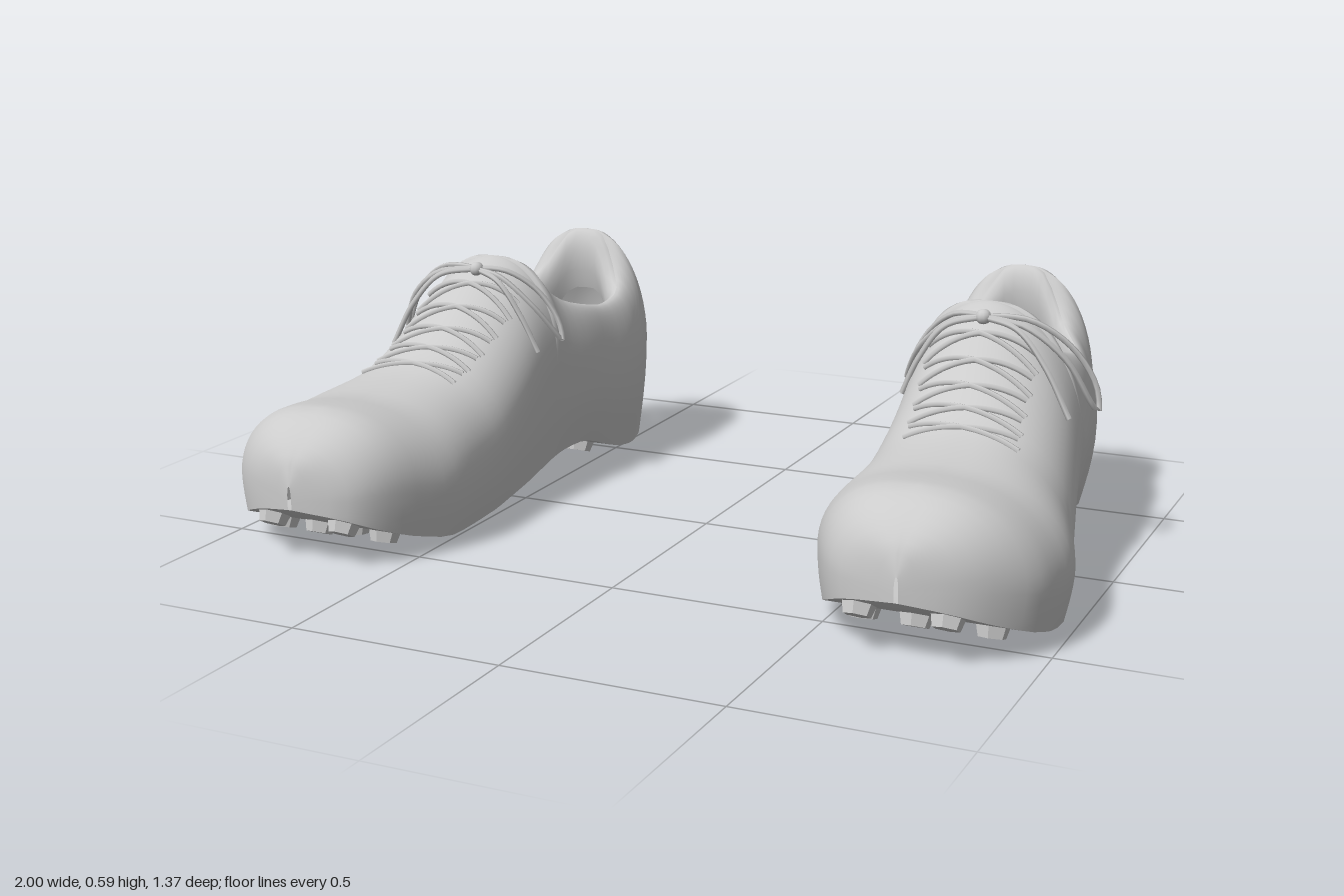
import * as THREE from 'three';
import { mergeVertices } from 'three/addons/utils/BufferGeometryUtils.js';

const material = new THREE.MeshStandardMaterial({ color: 0xcccccc, side: THREE.DoubleSide });

// Smooth monotone curve through pairs [z, value, z, value, ...]
function curve(...p) {
  const n = p.length / 2, X = i => p[2 * i], Y = i => p[2 * i + 1];
  const sec = i => (Y(i + 1) - Y(i)) / (X(i + 1) - X(i));
  const slope = i => {
    if (i === 0) return sec(0);
    if (i === n - 1) return sec(n - 2);
    const a = sec(i - 1), b = sec(i);
    return a * b <= 0 ? 0 : 2 * a * b / (a + b);
  };
  return z => {
    let i = 0;
    while (i < n - 2 && z > X(i + 1)) i++;
    const h = X(i + 1) - X(i), t = Math.min(1, Math.max(0, (z - X(i)) / h)), u = 1 - t;
    return Y(i) * (1 + 2 * t) * u * u + slope(i) * h * t * u * u
      + Y(i + 1) * (3 - 2 * t) * t * t - slope(i + 1) * h * t * t * u;
  };
}

// Shoe outline, profile and section rules along its length
const inner = curve(-.685, .60, -.67, .54, -.64, .49, -.6, .455, -.55, .43, -.45, .406, -.3, .43, -.1, .475,
  0, .472, .2, .46, .38, .45, .5, .487, .6, .54, .65, .60, .68, .72);
const outer = curve(-.685, .62, -.67, .68, -.64, .72, -.6, .76, -.55, .795, -.45, .835, -.3, .86, -.1, .89,
  0, .91, .2, .957, .37, 1, .42, .995, .5, .98, .6, .905, .65, .83, .68, .73);
const top = curve(-.685, .26, -.675, .33, -.66, .4, -.63, .47, -.6, .53, -.58, .575, -.56, .587, -.53, .525,
  -.5, .47, -.44, .44, -.36, .43, -.3, .44, -.22, .465, -.17, .51, -.13, .585, -.1, .575, -.05, .545,
  0, .5, .1, .42, .2, .365, .3, .343, .4, .333, .45, .338, .54, .343, .6, .32, .64, .285, .67, .24, .68, .19);
const bottom = curve(-.685, .2, -.68, .15, -.66, .085, -.64, .06, -.6, .035, -.5, .028, -.42, .035, -.35, .055,
  -.3, .075, -.25, .085, -.2, .08, -.1, .055, 0, .04, .1, .032, .2, .026, .4, .028, .5, .05, .6, .09, .68, .135);
const ridge = curve(-.685, .61, -.5, .61, -.35, .635, -.1, .655, .1, .68, .3, .71, .68, .725);
const bulge = curve(-.685, .5, -.4, .5, -.1, .42, .2, .36, .68, .35);
const soleEdge = curve(-.685, .85, -.4, .84, -.2, .86, .2, .93, .68, .96);
const fullness = curve(-.685, 1, -.56, 1.15, -.35, 1, 0, 1.05, .3, .85, .68, .8);
const middle = z => (inner(z) + outer(z)) / 2;
const half = z => (outer(z) - inner(z)) / 2;

// Collar opening, an ellipse seen from above
const RIM = { z: -.345, a: .215, b: .165 };
const rim = z => RIM.b * Math.sqrt(Math.max(0, 1 - ((z - RIM.z) / RIM.a) ** 2));

// Point on the upper; a runs from the widest line (0) to the ridge or rim (PI/2)
function onUpper(z, s, a, lift = 0) {
  const c = Math.max(0, Math.cos(a)), k = Math.sin(a), vb = bulge(z), r = rim(z);
  const x = r + (half(z) - r) * Math.pow(c, fullness(z));
  const v = vb + (1 - vb) * k;
  return new THREE.Vector3(
    THREE.MathUtils.lerp(middle(z), ridge(z), k) + s * (x + lift * c),
    bottom(z) + (top(z) - bottom(z)) * v + lift, z);
}

// Point on the side wall between the sole edge (t = 0) and the widest line (t = 1)
function onWall(z, s, t) {
  const e = soleEdge(z), f = e + (1 - e) * Math.sin(t * Math.PI / 2);
  return new THREE.Vector3(middle(z) + s * half(z) * f,
    bottom(z) + (top(z) - bottom(z)) * bulge(z) * t, z);
}

// Smooth mesh from one or more grids { rows, cols, at(i, j), flip }
function gridGeometry(grids) {
  const pos = [], idx = [];
  for (const { rows, cols, at, flip } of grids) {
    const base = pos.length / 3;
    for (let i = 0; i <= rows; i++) for (let j = 0; j <= cols; j++) pos.push(...at(i, j).toArray());
    for (let i = 0; i < rows; i++) for (let j = 0; j < cols; j++) {
      const a = base + i * (cols + 1) + j, b = a + 1, c = a + cols + 1, d = c + 1;
      idx.push(...(flip ? [a, c, b, b, c, d] : [a, b, c, b, d, c]));
    }
  }
  let g = new THREE.BufferGeometry();
  g.setAttribute('position', new THREE.Float32BufferAttribute(pos, 3));
  g.setIndex(idx);
  g = mergeVertices(g);
  g.computeVertexNormals();
  return g;
}

// Stations along the shoe, closer together at the heel, collar ends and toe
const stations = [-.685];
for (const [a, b, n] of [[-.685, -.56, 10], [-.56, -.13, 20], [-.13, .68, 30]])
  for (let i = 1; i <= n; i++) stations.push(a + (b - a) * (1 - Math.cos(Math.PI * i / n)) / 2);

function buildParts() {
  const parts = [];
  const add = (name, geometry) => parts.push({ name, geometry });
  const rows = stations.length - 1, low = 5, high = 14;

  // Upper: two halves that meet on the ridge and part around the collar
  add('upper', gridGeometry([1, -1].map(s => ({
    rows, cols: low + high, flip: s < 0,
    at: (i, j) => j <= low ? onWall(stations[i], s, j / low)
      : onUpper(stations[i], s, (j - low) / high * Math.PI / 2)
  }))));

  // Sole
  add('sole', gridGeometry([{
    rows, cols: 6,
    at: (i, j) => {
      const z = stations[i];
      return new THREE.Vector3(middle(z) + half(z) * soleEdge(z) * (j / 3 - 1), bottom(z), z);
    }
  }]));

  // Padded collar lining rolled into the opening
  const lip = [[1, 0], [.95, -.004], [.89, -.025], [.86, -.06], [.88, -.11], [.95, -.16]];
  add('collarLining', gridGeometry([{
    rows: 40, cols: lip.length - 1, flip: true,
    at: (i, j) => {
      const f = i / 40 * Math.PI * 2, [k, dy] = lip[j], z = RIM.z + RIM.a * Math.cos(f);
      const x = ridge(z) + RIM.b * Math.sin(f), cx = ridge(RIM.z);
      return new THREE.Vector3(cx + (x - cx) * k, top(z) + dy, RIM.z + (z - RIM.z) * k);
    }
  }]));

  // Six-sided studs that follow the slope of the sole: [z, spread]
  const studRows = [[-.58, .075], [-.46, 0], [-.37, .09], [-.295, 0], [-.225, .09], [-.09, .085], [.02, .1],
    [.09, 0], [.17, .13], [.26, 0], [.34, .165], [.42, 0], [.5, .14], [.56, 0], [.62, .095]];
  for (const [z, spread] of studRows) for (const s of spread ? [-1, 1] : [0]) {
    const g = new THREE.CylinderGeometry(.038, .03, .03, 6).toNonIndexed();
    g.computeVertexNormals();
    g.rotateX(-Math.atan2(bottom(z + .02) - bottom(z - .02), .04));
    g.translate(middle(z) + s * spread, bottom(z) - .011, z);
    add('stud', g);
  }

  // Crossed laces over the instep
  const tube = (name, pts, closed = false) => add(name, new THREE.TubeGeometry(
    new THREE.CatmullRomCurve3(pts, closed), 32, .007, 5, closed));
  for (let k = 0; k < 5; k++) for (const d of [-1, 1]) {
    const z0 = .19 - k * .055, pts = [];
    for (let i = -5; i <= 5; i++) {
      const a = Math.PI / 2 - Math.abs(i) / 5 * (.5 + k * .04);
      pts.push(onUpper(z0 + d * i * .004, i < 0 ? -1 : 1, a, .003));
    }
    tube('lace', pts);
  }

  // Bow: a wide outer loop, an inner loop and two loose ends
  const V = (x, y, z) => new THREE.Vector3(x, y, z);
  const knot = V(.66, .562, -.06);
  tube('outerBowLoop', [knot, V(.76, .55, -.05), V(.85, .48, -.07), V(.905, .37, -.115), V(.915, .35, -.135),
    V(.905, .41, -.14), V(.85, .5, -.115), V(.76, .56, -.08)], true);
  tube('innerBowLoop', [knot, V(.59, .55, -.05), V(.51, .48, -.07), V(.465, .4, -.115), V(.458, .38, -.13),
    V(.47, .43, -.135), V(.52, .51, -.115), V(.59, .56, -.08)], true);
  tube('outerLaceEnd', [knot, V(.75, .545, -.03), V(.82, .47, -.015), V(.88, .36, -.01)]);
  tube('innerLaceEnd', [knot, V(.58, .54, -.03), V(.52, .46, -.03), V(.478, .37, -.04)]);
  const knotBall = new THREE.SphereGeometry(.018, 10, 8);
  add('laceKnot', knotBall.translate(knot.x, knot.y, knot.z));
  return parts;
}

// Mirrored copy with the corner order turned round
function mirrored(geometry) {
  const g = mergeVertices(geometry).scale(-1, 1, 1), ix = g.index.array;
  for (let i = 0; i < ix.length; i += 3) [ix[i + 1], ix[i + 2]] = [ix[i + 2], ix[i + 1]];
  return g;
}

export function createModel() {
  const model = new THREE.Group();
  model.name = 'pairOfShoes';
  const left = new THREE.Group(), right = new THREE.Group();
  left.name = 'leftShoe';
  right.name = 'rightShoe';
  for (const { name, geometry } of buildParts()) {
    for (const [group, g] of [[left, geometry], [right, mirrored(geometry)]]) {
      const mesh = new THREE.Mesh(g, material);
      mesh.name = name;
      group.add(mesh);
    }
  }
  model.add(left, right);
  return model;
}
